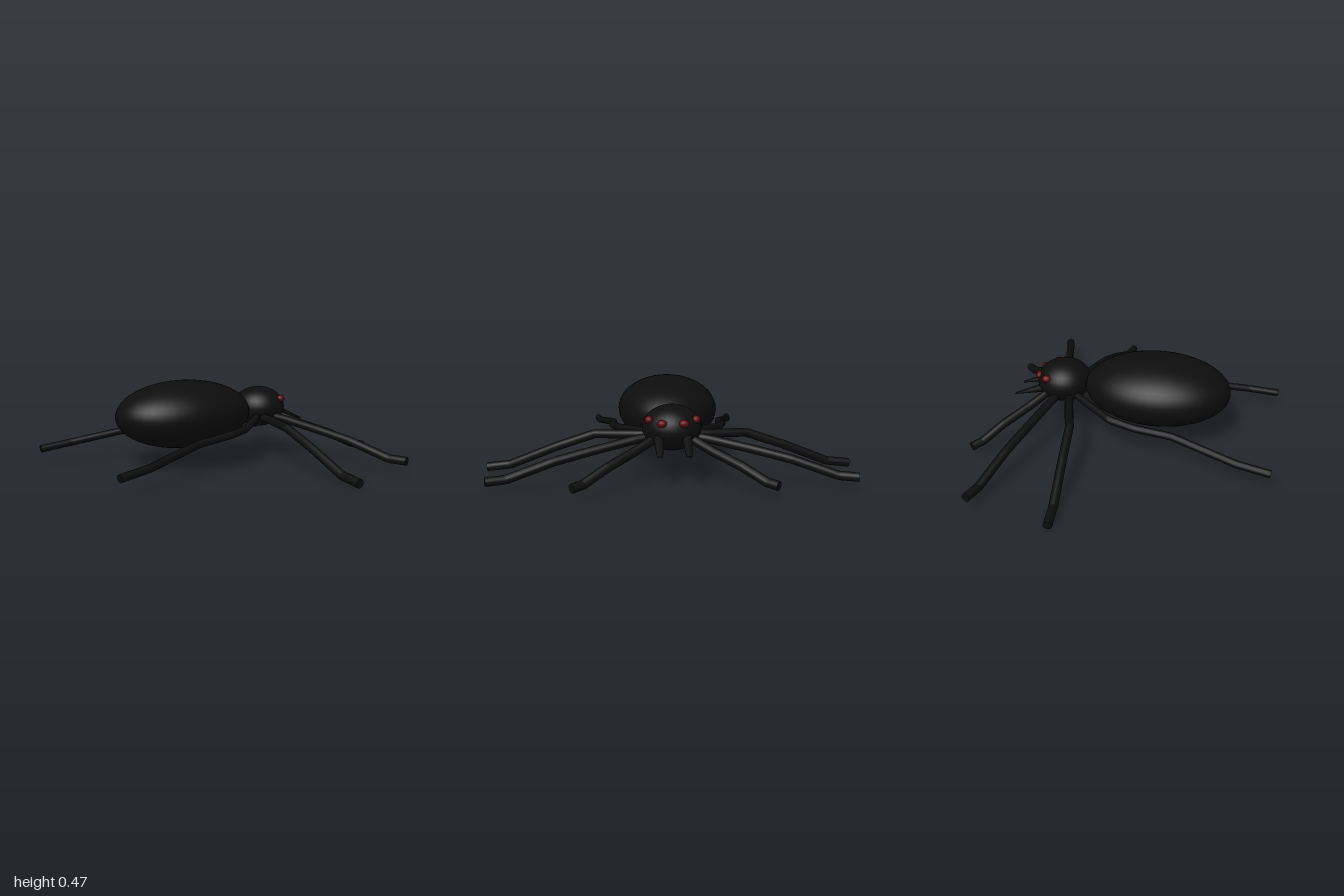
import * as THREE from 'three';

const black = new THREE.MeshStandardMaterial({ color: 0x0d0d0d });
const red = new THREE.MeshStandardMaterial({ color: 0x5a0a0e });

// Centre lines of the legs on the +x side, root to tip
const legs = {
  frontLeg: [[0.06, 0.25, -0.46], [0.2, 0.185, -0.575], [0.33, 0.135, -0.68], [0.44, 0.078, -0.765], [0.492, 0.07, -0.808]],
  secondLeg: [[0.06, 0.24, -0.41], [0.2, 0.22, -0.452], [0.41, 0.18, -0.512], [0.6, 0.14, -0.567], [0.83, 0.068, -0.63], [0.927, 0.066, -0.66]],
  thirdLeg: [[0.06, 0.23, -0.37], [0.2, 0.225, -0.335], [0.41, 0.215, -0.27], [0.62, 0.142, -0.25], [0.87, 0.04, -0.225], [0.998, 0.024, -0.215]],
  hindLeg: [[0.06, 0.24, -0.36], [0.13, 0.23, -0.28], [0.285, 0.21, -0.08], [0.32, 0.195, 0.06], [0.32, 0.17, 0.27], [0.42, 0.11, 0.63], [0.44, 0.088, 0.81]],
};

function ellipsoid(name, material, center, radii, segments = 32) {
  const mesh = new THREE.Mesh(new THREE.SphereGeometry(1, segments, segments / 2), material);
  mesh.name = name;
  mesh.position.set(...center);
  mesh.scale.set(...radii);
  return mesh;
}

// Jointed tube with a flat end at the foot
function leg(name, points, side, radius) {
  const pts = points.map(([x, y, z]) => new THREE.Vector3(x * side, y, z));
  const path = new THREE.CurvePath();
  for (let i = 1; i < pts.length; i++) path.add(new THREE.LineCurve3(pts[i - 1], pts[i]));
  const group = new THREE.Group();
  group.name = name;
  const tube = new THREE.Mesh(new THREE.TubeGeometry(path, 60, radius, 12), black);
  tube.name = 'limb';
  const foot = new THREE.Mesh(new THREE.CircleGeometry(radius, 12), black);
  foot.name = 'foot';
  const tip = pts[pts.length - 1];
  const direction = tip.clone().sub(pts[pts.length - 2]).normalize();
  foot.position.copy(tip);
  foot.quaternion.setFromUnitVectors(new THREE.Vector3(0, 0, 1), direction);
  group.add(tube, foot);
  return group;
}

// Fang: a tapered rod that flattens to an edge at the tip
function fang(name, side) {
  const geometry = new THREE.CylinderGeometry(1, 1, 1, 12, 4).rotateX(-Math.PI / 2);
  const p = geometry.attributes.position;
  for (let i = 0; i < p.count; i++) {
    const t = 0.5 - p.getZ(i);
    p.setXYZ(i,
      side * 0.072 + p.getX(i) * (0.028 - 0.013 * t),
      0.25 - 0.06 * t + p.getY(i) * (0.027 - 0.025 * t),
      -0.52 - 0.178 * t);
  }
  geometry.computeVertexNormals();
  const mesh = new THREE.Mesh(geometry, black);
  mesh.name = name;
  return mesh;
}

export function createModel() {
  const model = new THREE.Group();
  model.name = 'spider';

  // Body
  model.add(ellipsoid('abdomen', black, [0, 0.283, 0.135], [0.287, 0.188, 0.415], 48));
  model.add(ellipsoid('head', black, [0, 0.28, -0.415], [0.155, 0.12, 0.155]));

  // Mirrored legs, fangs and eyes
  for (const [label, side] of [['left', 1], ['right', -1]]) {
    for (const [name, points] of Object.entries(legs)) {
      model.add(leg(`${label} ${name}`, points, side, name === 'hindLeg' ? 0.021 : 0.024));
    }
    model.add(fang(`${label} fang`, side));
    model.add(ellipsoid(`${label} frontEye`, red, [side * 0.055, 0.322, -0.545], [0.028, 0.021, 0.022], 16));
    model.add(ellipsoid(`${label} sideEye`, red, [side * 0.12, 0.332, -0.485], [0.024, 0.022, 0.028], 16));
  }
  return model;
}
